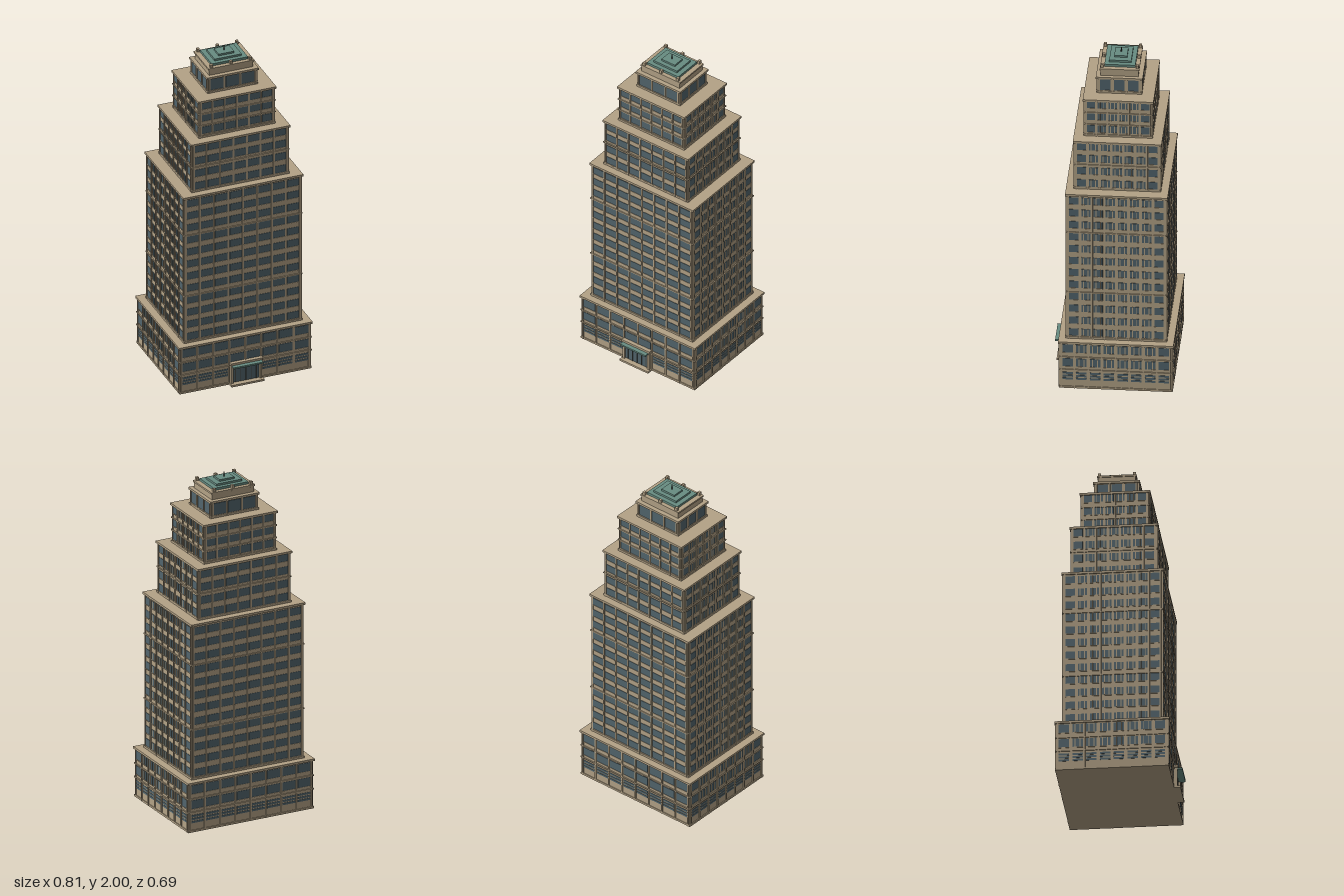
import * as THREE from 'three';
import { mergeGeometries } from 'three/addons/utils/BufferGeometryUtils.js';

const stone = new THREE.MeshStandardMaterial({ color: 0xb3a286 });
stone.name = 'stone';
const glass = new THREE.MeshStandardMaterial({ color: 0x52656d });
glass.name = 'window glass';
const copper = new THREE.MeshStandardMaterial({ color: 0x688c82 });
copper.name = 'green copper';
const bronze = new THREE.MeshStandardMaterial({ color: 0x4a4c46 });
bronze.name = 'dark bronze';

const box = (w, h, d, x, y, z) => new THREE.BoxGeometry(w, h, d).translate(x, y, z);

// half widths are those of the wall; rows are window centre heights
const tiers = [
  { name: 'base', hx: 0.396, hz: 0.316, y0: 0, y1: 0.3, nx: 8, nz: 8, rows: [0.255, 0.165], h: 0.052, bands: [0.2, 0.118], louvre: 0.078 },
  { name: 'mainShaft', hx: 0.355, hz: 0.28, y0: 0.3, y1: 1.24, nx: 8, nz: 8,
    rows: Array.from({ length: 12 }, (_, i) => 0.34 + i * 0.0777), h: 0.045, bands: [0.6, 0.99] },
  { name: 'upperShaft', hx: 0.292, hz: 0.241, y0: 1.24, y1: 1.55, nx: 7, nz: 7, rows: [1.277, 1.357, 1.437, 1.514], h: 0.046, bands: [1.396] },
  { name: 'crownShaft', hx: 0.228, hz: 0.19, y0: 1.55, y1: 1.787, nx: 6, nz: 6, rows: [1.595, 1.675, 1.752], h: 0.046, bands: [1.7, 1.625] },
  { name: 'lantern', hx: 0.148, hz: 0.123, y0: 1.787, y1: 1.89, nx: 3, nz: 3, rows: [1.838], h: 0.07, bands: [] },
];

// One storeyed block with four window walls
function buildTier(t) {
  const group = new THREE.Group();
  group.name = t.name;
  const h = t.y1 - t.y0, mid = (t.y0 + t.y1) / 2;
  const walls = [box(t.hx * 2, h, t.hz * 2, 0, mid, 0)];
  const trim = [], panes = [];
  // cornice and ledges around the block
  trim.push(box(t.hx * 2 + 0.018, 0.013, t.hz * 2 + 0.018, 0, t.y1 - 0.0065, 0));
  trim.push(box(t.hx * 2 + 0.01, 0.012, t.hz * 2 + 0.01, 0, t.y0 + 0.006, 0));
  for (const y of t.bands) trim.push(box(t.hx * 2 + 0.012, 0.007, t.hz * 2 + 0.012, 0, y, 0));

  for (let side = 0; side < 4; side++) {
    const flank = side % 2 === 1;
    const half = flank ? t.hz : t.hx, out = flank ? t.hx : t.hz;
    const n = flank ? t.nz : t.nx;
    const put = (list, w, hh, d, u, y) =>
      list.push(box(w, hh, d, u, y, out + d / 2 - 0.002).rotateY(side * Math.PI / 2));
    const pitch = (half * 2 - 0.012) / n;
    const paneW = pitch * (flank ? 0.76 : 0.84);
    for (let i = 0; i <= n; i++) {
      const edge = i === 0 ? 0.004 : i === n ? -0.004 : 0;
      put(trim, 0.008, h, 0.008, (i - n / 2) * pitch + edge, mid);
    }
    for (let i = 0; i < n; i++) {
      const u = (i + 0.5 - n / 2) * pitch;
      for (const y of t.rows) {
        put(panes, paneW, t.h, 0.004, u, y);
        put(trim, paneW, 0.004, 0.006, u, y - t.h / 2 - 0.001);
      }
      // slim fins on the middle bays of the flanks
      if (flank && n > 3 && i > 0 && i < n - 1)
        for (const k of [-1, 1]) for (const y of t.rows)
          put(trim, 0.005, t.h, 0.007, u + k * paneW * 0.24, y);
      // louvred ground-floor openings
      if (t.louvre && (side !== 0 || Math.abs(u) > 0.1))
        for (let k = -1; k <= 1; k++) put(panes, paneW, 0.012, 0.004, u, t.louvre + k * 0.018);
    }
  }
  const add = (name, list, material) => {
    const mesh = new THREE.Mesh(mergeGeometries(list), material);
    mesh.name = name;
    group.add(mesh);
  };
  add('walls', walls, stone);
  add('piersAndLedges', trim, stone);
  add('windows', panes, glass);
  return group;
}

export function createModel() {
  const model = new THREE.Group();
  model.name = 'steppedTower';
  const tower = new THREE.Group();
  tower.name = 'tower';
  tower.position.z = -0.02;
  model.add(tower);
  const add = (name, geometry, material) => {
    const mesh = new THREE.Mesh(geometry, material);
    mesh.name = name;
    tower.add(mesh);
  };
  for (const t of tiers) tower.add(buildTier(t));

  // parapet block with corner and middle pinnacles
  add('parapet', box(0.268, 0.04, 0.212, 0, 1.908, 0), stone);
  add('parapetCornice', box(0.278, 0.01, 0.222, 0, 1.93, 0), stone);
  for (const x of [-0.118, 0, 0.118]) for (const z of [-0.099, 0.099])
    add('pinnacle', box(0.016, 0.034, 0.016, x, 1.938, z), stone);

  // stepped copper roof and mast
  add('lowerRoofStep', box(0.22, 0.016, 0.174, 0, 1.941, 0), copper);
  add('middleRoofStep', box(0.164, 0.013, 0.124, 0, 1.9545, 0), copper);
  add('upperRoofStep', box(0.094, 0.012, 0.073, 0, 1.966, 0), copper);
  add('mast', new THREE.CylinderGeometry(0.003, 0.004, 0.03, 8).translate(0, 1.985, 0), bronze);

  // entrance: step, surround, doors and canopy
  add('entranceStep', box(0.2, 0.012, 0.06, 0, 0.006, 0.327), stone);
  for (const s of [-1, 1]) add('entranceJamb', box(0.014, 0.125, 0.024, s * 0.087, 0.0655, 0.326), stone);
  add('entranceLintel', box(0.196, 0.014, 0.03, 0, 0.135, 0.326), stone);
  add('entranceDoors', box(0.16, 0.112, 0.008, 0, 0.068, 0.322), glass);
  for (let i = -2; i <= 2; i++) add('doorMullion', box(0.004, 0.112, 0.006, i * 0.032, 0.068, 0.325), bronze);
  add('canopy', box(0.178, 0.01, 0.05, 0, 0.124, 0.341), copper);
  return model;
}
